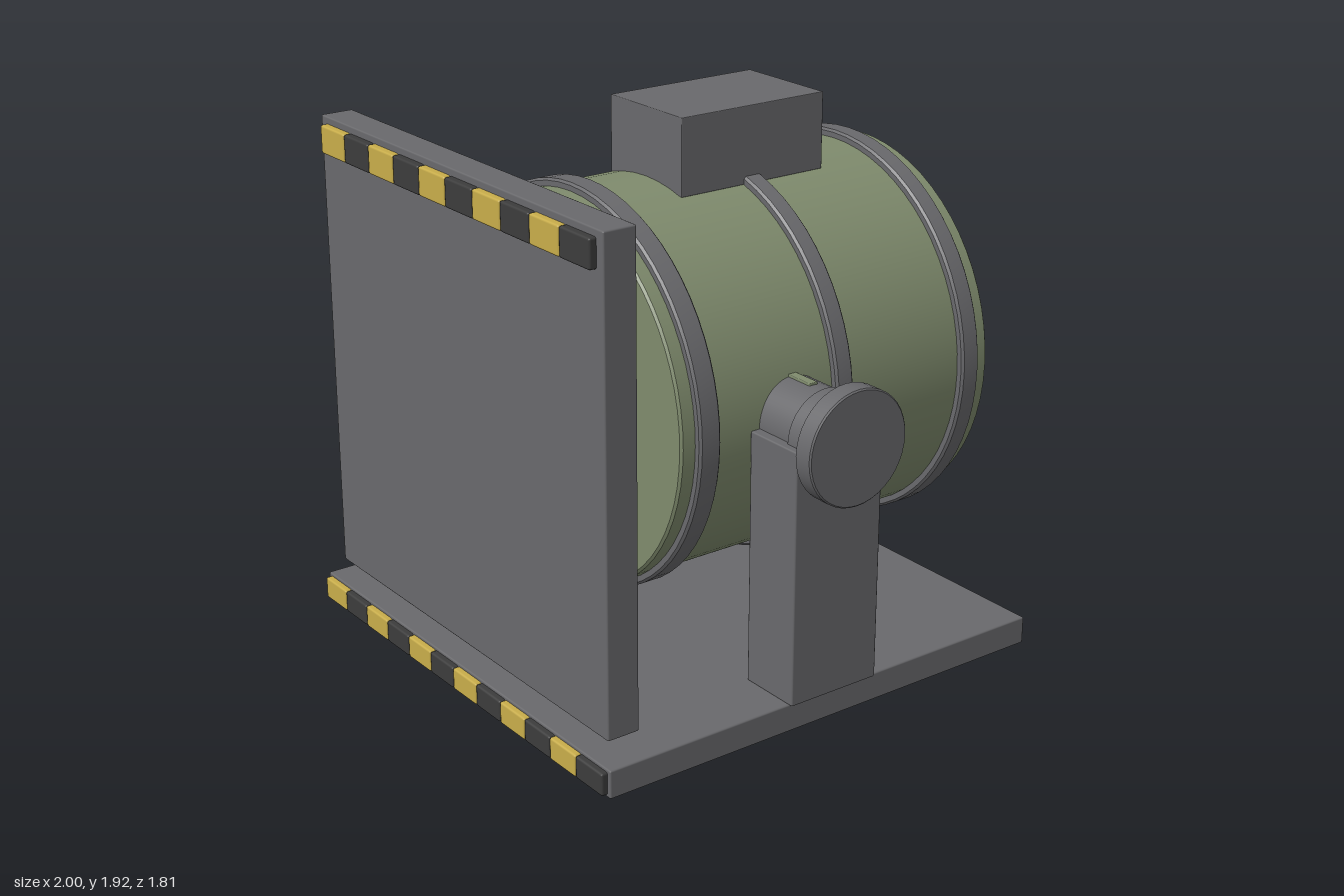
import * as THREE from 'three';
import { RoundedBoxGeometry } from 'three/addons/geometries/RoundedBoxGeometry.js';
import { toCreasedNormals } from 'three/addons/utils/BufferGeometryUtils.js';

const material = (name, color) => {
  const m = new THREE.MeshStandardMaterial({ color });
  m.name = name;
  return m;
};

export function createModel() {
  const grey = material('steel grey', 0x69696c);
  const green = material('olive green', 0x7f8b6d);
  const yellow = material('warning yellow', 0xc8ad4a);
  const dark = material('warning black', 0x3c3c3c);
  const group = new THREE.Group();

  const add = (name, geometry, mat, x, y, z, parent = group) => {
    const mesh = new THREE.Mesh(geometry, mat);
    mesh.name = name;
    mesh.position.set(x, y, z);
    parent.add(mesh);
    return mesh;
  };
  const box = (name, mat, w, h, d, x, y, z, parent, r = 0.006) =>
    add(name, new RoundedBoxGeometry(w, h, d, 1, r), mat, x, y, z, parent);

  // Solid disc or drum with a small edge bevel, running along y
  const drumGeometry = (radius, length, bevel, sides = 64) => {
    const h = length / 2;
    const profile = [
      [0, -h], [radius - bevel, -h], [radius, -h + bevel],
      [radius, h - bevel], [radius - bevel, h], [0, h],
    ].map(([x, y]) => new THREE.Vector2(x, y));
    return toCreasedNormals(new THREE.LatheGeometry(profile, sides), 0.5);
  };

  // Row of alternating warning blocks
  const stripeRow = (name, count, width, height, depth, y, z) => {
    const row = new THREE.Group();
    row.name = name;
    group.add(row);
    const step = width / count;
    for (let i = 0; i < count; i++) {
      box('warningBlock', i % 2 ? dark : yellow, step, height, depth,
        -width / 2 + step * (i + 0.5), y, z, row, 0.008);
    }
  };

  // Base plate and front shield
  box('basePlate', grey, 1.79, 0.1, 1.79, 0, 0.05, -0.01);
  box('frontShield', grey, 1.67, 1.67, 0.12, 0, 1, 0.79);
  stripeRow('baseStripes', 12, 1.76, 0.08, 0.035, 0.05, 0.89);
  stripeRow('shieldStripes', 10, 1.6, 0.1, 0.035, 1.76, 0.858);

  // Drum with its three bands
  add('drum', drumGeometry(0.68, 1.32, 0.008), green, 0, 1, -0.21).rotation.x = Math.PI / 2;
  for (const [z, width] of [[0.352, 0.085], [-0.208, 0.073], [-0.77, 0.077]]) {
    add('drumBand', drumGeometry(0.707, width, 0.008), grey, 0, 1, z).rotation.x = Math.PI / 2;
  }

  // Control box on top of the drum
  box('topBox', grey, 0.4, 0.27, 0.6, 0, 1.785, -0.21, group, 0.003);

  // Posts and pivots on both sides
  for (const side of [-1, 1]) {
    const mount = new THREE.Group();
    mount.name = side > 0 ? 'leftMount' : 'rightMount';
    group.add(mount);
    box('post', grey, 0.235, 0.9, 0.36, side * 0.795, 0.55, -0.01, mount);
    for (const [name, radius, x0, x1] of [
      ['pivot', 0.145, 0.6, 0.84],
      ['pivotCollar', 0.155, 0.83, 0.93],
      ['pivotCap', 0.2, 0.925, 1],
    ]) {
      add(name, drumGeometry(radius, x1 - x0, 0.005, 40), grey,
        side * (x0 + x1) / 2, 1, -0.01, mount).rotation.z = Math.PI / 2;
    }
    // Key on top of the pivot
    box('pivotKey', green, 0.12, 0.03, 0.035, side * 0.71, 1.137, -0.013, mount, 0.003);
  }
  return group;
}
